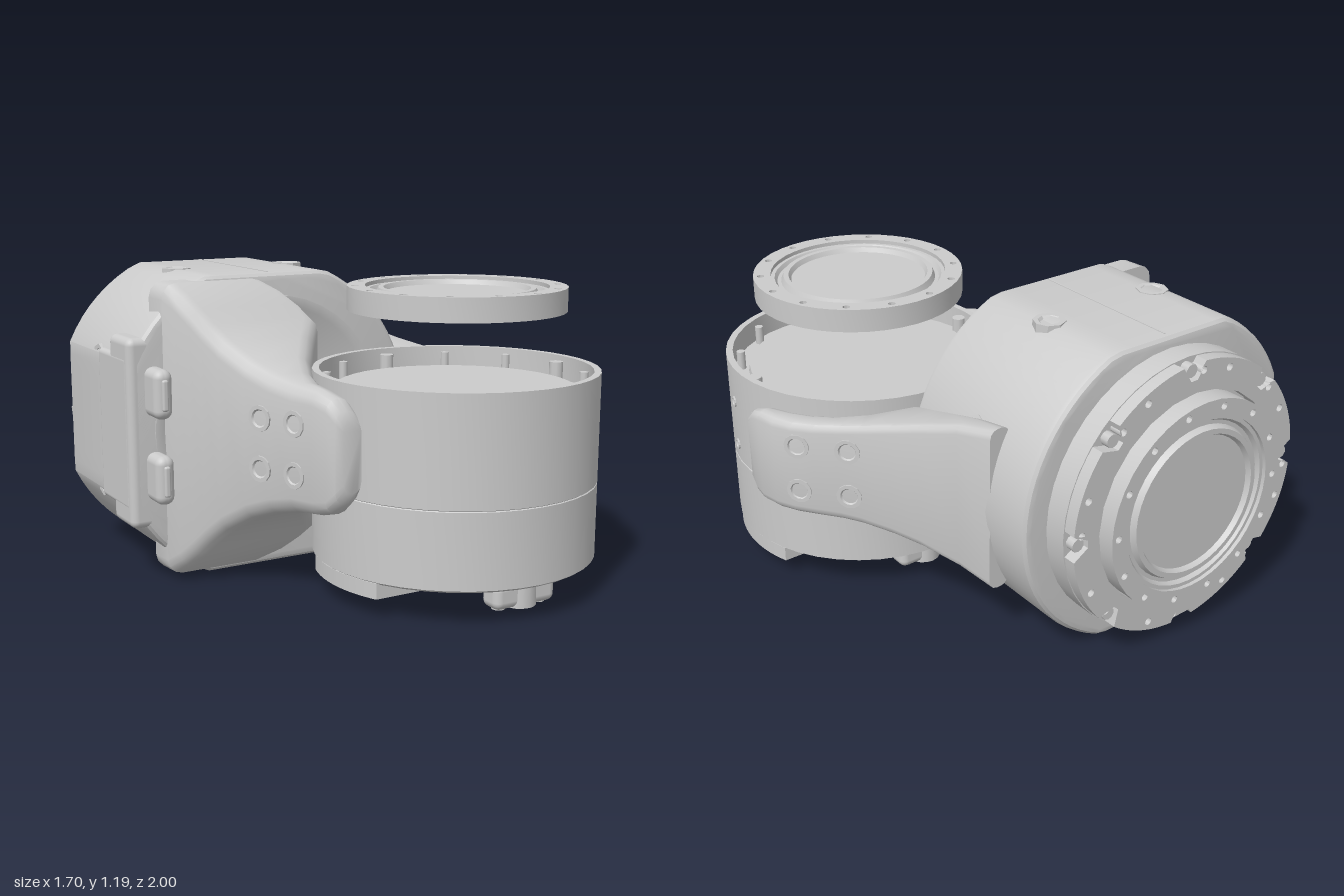
import * as THREE from 'three';
import { toCreasedNormals } from 'three/addons/utils/BufferGeometryUtils.js';
import { RoundedBoxGeometry } from 'three/addons/geometries/RoundedBoxGeometry.js';

const MAT = new THREE.MeshStandardMaterial({ color: 0xcccccc, side: THREE.DoubleSide });
const V = (x, y, z) => new THREE.Vector3(x, y, z);
const TAU = Math.PI * 2;
const MID = 0.59;                          // height of the horizontal axis
const CX = 0.25, CZ = 0.45, R = 0.545;     // vertical drive

function add(parent, name, geo, x = 0, y = 0, z = 0) {
  const m = new THREE.Mesh(geo, MAT);
  m.name = name;
  m.position.set(x, y, z);
  parent.add(m);
  return m;
}
function lathe(pts, seg = 40) {
  return toCreasedNormals(new THREE.LatheGeometry(pts.map(p => new THREE.Vector2(...p)), seg), 0.5);
}
function circle(x, y, r) {
  return new THREE.Path().absarc(x, y, r, 0, TAU, true);
}
// Extrusion that grows upward along y
function slab(shape, depth, curveSegments = 12) {
  const g = new THREE.ExtrudeGeometry(shape, { depth, bevelEnabled: false, curveSegments });
  return toCreasedNormals(g.rotateX(-Math.PI / 2), 0.5);
}
// Skin over rounded rectangles: [z, xMin, xMax, halfHeight, cornerRadius]
function loft(stations) {
  const N = 16, pos = [], idx = [];
  for (const [z, x0, x1, h, r] of stations) {
    const cx = (x0 + x1) / 2, hw = (x1 - x0) / 2, rr = Math.min(r, hw * 0.95, h * 0.95);
    for (let j = 0; j < N; j++) {
      const q = Math.floor(j / 4), a = (q + (j % 4) / 3) * Math.PI / 2;
      const sx = q === 0 || q === 3 ? 1 : -1, sy = q < 2 ? 1 : -1;
      pos.push(cx + sx * (hw - rr) + rr * Math.cos(a), MID + sy * (h - rr) + rr * Math.sin(a), z);
    }
  }
  const last = (stations.length - 1) * N;
  for (let i = 0; i < last; i += N) for (let j = 0; j < N; j++) {
    const k = (j + 1) % N;
    idx.push(i + j, i + k, i + N + k, i + j, i + N + k, i + N + j);
  }
  for (let j = 1; j < N - 1; j++) idx.push(0, j + 1, j, last, last + j, last + j + 1);
  const g = new THREE.BufferGeometry();
  g.setAttribute('position', new THREE.Float32BufferAttribute(pos, 3));
  g.setIndex(idx);
  return toCreasedNormals(g, 0.6);
}
// Thin collar with a sunk centre, facing along a normal
function screwHole(parent, name, p, normal, r, seg = 12) {
  const g = lathe([[r, -0.03], [r, 0.006], [r * 0.7, 0.006], [r * 0.55, -0.004], [0, -0.004]], seg);
  add(parent, name, g, p.x, p.y, p.z).quaternion.setFromUnitVectors(V(0, 1, 0), normal.clone().normalize());
}

// Output disc with a ring of holes and a recessed centre; base at y = 0
function rotor(name) {
  const g = new THREE.Group();
  g.name = name;
  const rim = new THREE.Shape().absarc(0, 0, 0.413, 0, TAU);
  rim.holes.push(circle(0, 0, 0.345));
  for (let i = 0; i < 14; i++) {
    const a = i / 14 * TAU;
    rim.holes.push(circle(Math.cos(a) * 0.383, Math.sin(a) * 0.383, 0.014));
  }
  add(g, 'discRim', slab(rim, 0.09, 20));
  add(g, 'discCentre', lathe([[0.346, 0.0], [0.346, 0.075], [0.33, 0.075], [0.32, 0.06], [0.305, 0.06],
    [0.295, 0.083], [0.275, 0.083], [0.265, 0.065], [0, 0.065], [0, 0.04], [0.3, 0.04], [0.346, 0.0]]));
  return g;
}

// Notched mounting ring with bolts; base at y = 0
function flange() {
  const g = new THREE.Group();
  g.name = 'rearFlange';
  add(g, 'flangeBase', lathe([[0.545, -0.04], [0.545, 0.09], [0, 0.09]]));
  const pts = [];
  for (let i = 0; i < 96; i++) {
    const a = i / 96 * TAU, r = i % 12 < 2 ? 0.475 : 0.54;
    pts.push(new THREE.Vector2(Math.cos(a) * r, Math.sin(a) * r));
  }
  const ring = new THREE.Shape(pts);
  ring.holes.push(circle(0, 0, 0.425));
  for (let i = 0; i < 24; i++) {
    const a = (i + 0.8) / 24 * TAU;
    if (i % 3) ring.holes.push(circle(Math.cos(a) * 0.505, Math.sin(a) * 0.505, 0.015));
  }
  add(g, 'flangeRing', slab(ring, 0.05), 0, 0.09, 0);
  for (let i = 0; i < 8; i++) {
    const a = (i * 12 + 0.5) / 96 * TAU;
    add(g, 'flangeBolt', new THREE.CylinderGeometry(0.026, 0.026, 0.04, 10),
      Math.cos(a) * 0.507, 0.105, -Math.sin(a) * 0.507);
  }
  return g;
}

function housing() {
  const g = new THREE.Group();
  g.name = 'housing';
  // Round case trimmed flat on top, bottom and its outer side
  const pts = [];
  for (let i = 0; i < 72; i++) {
    const a = i / 72 * TAU, r = Math.cos(a) < 0 ? 0.655 : 0.64;
    pts.push(new THREE.Vector2(Math.max(-0.845, -0.25 + r * Math.cos(a)),
      Math.min(1.18, Math.max(0, MID + r * Math.sin(a)))));
  }
  const geo = new THREE.ExtrudeGeometry(new THREE.Shape(pts), {
    depth: 0.64, bevelSize: 0.03, bevelThickness: 0.03, bevelOffset: -0.03, bevelSegments: 3 });
  add(g, 'case', toCreasedNormals(geo, 0.5), 0, 0, -0.77);
  for (const y of [0.002, 1.178]) add(g, 'seam', new THREE.BoxGeometry(0.008, 0.008, 0.64), -0.25, y, -0.45);
  add(g, 'frontCover', lathe([[0.5, -0.01], [0.5, 0.006], [0.47, 0.006], [0.46, 0.001], [0, 0.001]]),
    -0.25, MID, -0.1).rotation.x = Math.PI / 2;
  for (const s of [1, -1]) {
    for (const x of [-0.5, 0]) screwHole(g, 'caseHole', V(x, MID + s * 0.587, -0.44), V(0, s, 0), 0.062, 8);
    screwHole(g, 'caseHole', V(0.335, MID + s * 0.25, -0.44), V(0.9, s * 0.4, 0), 0.06, 8);
    screwHole(g, 'caseHole', V(-0.835, MID + s * 0.25, -0.44), V(-1, 0, 0), 0.06, 8);
    // Socket on the front of the side panel
    const y = MID + s * 0.165;
    add(g, 'socket', new RoundedBoxGeometry(0.075, 0.19, 0.14, 3, 0.034), -0.75, y, -0.06);
    add(g, 'socketTongue', new RoundedBoxGeometry(0.025, 0.12, 0.02, 2, 0.009), -0.75, y, 0.01);
  }
  add(g, 'sidePanel', new RoundedBoxGeometry(0.14, 0.74, 0.2, 3, 0.03), -0.782, MID, -0.2);
  add(g, 'sidePanelStep', new RoundedBoxGeometry(0.05, 0.6, 0.3, 3, 0.02), -0.828, MID, -0.27);
  return g;
}

// Arms reach forward and hug the round drive
function arms(root) {
  const hug = (z, s) => CX + s * Math.sqrt(Math.max(0, R * R - (z - CZ) ** 2));
  const left = [[-0.6, 0.3, 0.385, 0.33], [-0.45, 0.3, 0.42, 0.3], [-0.3, 0.3, 0.49, 0.26], [-0.2, 0.3, 0.55, 0.235],
    [-0.1, 0.33, 0.62, 0.213], [-0.04, hug(-0.04, 1), 0.67, 0.203], [0.03, hug(0.03, 1), 0.735, 0.197],
    [0.1, hug(0.1, 1), 0.79, 0.195], [0.17, hug(0.17, 1), 0.825, 0.195], [0.25, hug(0.25, 1), 0.842, 0.195],
    [0.3, hug(0.3, 1), 0.843, 0.18], [0.335, hug(0.335, 1), 0.84, 0.145], [0.35, hug(0.35, 1), 0.825, 0.11]];
  add(root, 'leftArm', loft(left.map(s => [...s, 0.035])));
  const right = [[-0.2, -0.72, -0.28, 0.57], [-0.1, -0.71, -0.27, 0.57], [-0.05, -0.68, -0.21, 0.53],
    [0, -0.645, -0.155, 0.475], [0.04, -0.615, hug(0.04, -1) - 0.01, 0.425], [0.1, -0.575, hug(0.1, -1), 0.365],
    [0.2, -0.52, hug(0.2, -1), 0.3], [0.3, -0.475, hug(0.3, -1), 0.262], [0.4, -0.435, hug(0.4, -1), 0.24],
    [0.5, -0.405, hug(0.5, -1), 0.23], [0.57, -0.385, hug(0.57, -1), 0.21], [0.605, -0.365, hug(0.605, -1), 0.17],
    [0.62, -0.34, hug(0.62, -1), 0.13]];
  add(root, 'rightArm', loft(right.map(s => [...s, 0.06])));
  for (const y of [0.5, 0.69]) {
    screwHole(root, 'armHole', V(0.773, y, 0.08), V(0.74, 0, -0.6), 0.05);
    screwHole(root, 'armHole', V(0.645, y, -0.07), V(0.74, 0, -0.66), 0.05);
    screwHole(root, 'armHole', V(-0.49, y, 0.27), V(-0.92, 0, 0.4), 0.05);
    screwHole(root, 'armHole', V(-0.429, y, 0.42), V(-0.95, 0, 0.3), 0.05);
    for (const z of [0.38, 0.55]) screwHole(root, 'driveHole', V(hug(z, 1), y, z), V(1, 0, (z - CZ) * 1.8), 0.022);
  }
}

function drive() {
  const g = new THREE.Group();
  g.name = 'verticalDrive';
  g.position.set(CX, 0, CZ);
  // Open-topped shell with a shallow floor
  add(g, 'shell', lathe([[0, 0.13], [0.53, 0.13], [R, 0.14], [R, 0.425], [R - 0.004, 0.428], [R, 0.431],
    [R, 0.845], [0.518, 0.845], [0.518, 0.75], [0.46, 0.75], [0.455, 0.775], [0, 0.775]]));
  for (let i = 0; i < 12; i++) {
    const a = i / 12 * TAU, big = i % 3 === 0;
    add(g, 'rimPin', new THREE.CylinderGeometry(big ? 0.028 : 0.017, big ? 0.028 : 0.017, 0.08, 10),
      Math.cos(a) * 0.488, 0.785, Math.sin(a) * 0.488);
  }
  for (const s of [1, -1]) {
    // Side block following the round edge, with slots
    const b = new THREE.Shape();
    b.moveTo(0.22, -0.23);
    b.lineTo(0.488, -0.23);
    b.absarc(0, 0, 0.54, -0.44, 0.34, false);
    b.lineTo(0.22, 0.18);
    for (const y of [-0.14, 0.06]) {
      b.holes.push(new THREE.Path([[0.28, y], [0.28, y + 0.06], [0.43, y + 0.06], [0.43, y]]
        .map(p => new THREE.Vector2(...p))));
    }
    const block = add(g, 'footBlock', slab(b, 0.06), 0, 0.075, 0);
    if (s < 0) { block.geometry.rotateZ(Math.PI); block.position.y = 0.135; }
    // Rounded foot with two screws
    const z = s * 0.42;
    add(g, 'foot', new RoundedBoxGeometry(0.27, 0.1, 0.1, 3, 0.03), 0, 0.085, z);
    add(g, 'footBoss', new THREE.CylinderGeometry(0.066, 0.066, 0.1, 16), 0, 0.085, z);
    for (const x of [-0.09, 0.09]) screwHole(g, 'footScrew', V(x, 0.036, z), V(0, -1, 0), 0.025);
    add(g, 'baseRib', new THREE.BoxGeometry(0.05, 0.03, 0.4), s * 0.1, 0.118, 0);
    screwHole(g, 'baseScrew', V(s * 0.27, 0.13, -s * 0.33), V(0, -1, 0), 0.035);
  }
  return g;
}

export function createModel() {
  const root = new THREE.Group();
  root.name = 'twoAxisJoint';
  root.add(housing(), drive());
  arms(root);

  const top = rotor('floatingDisc');
  top.position.set(CX, 1.065, CZ);
  const back = rotor('rearDisc');
  back.position.set(-0.25, MID, -0.91);
  const ring = flange();
  ring.position.set(-0.255, MID, -0.8);
  back.rotation.x = ring.rotation.x = -Math.PI / 2;
  root.add(top, back, ring);
  return root;
}
